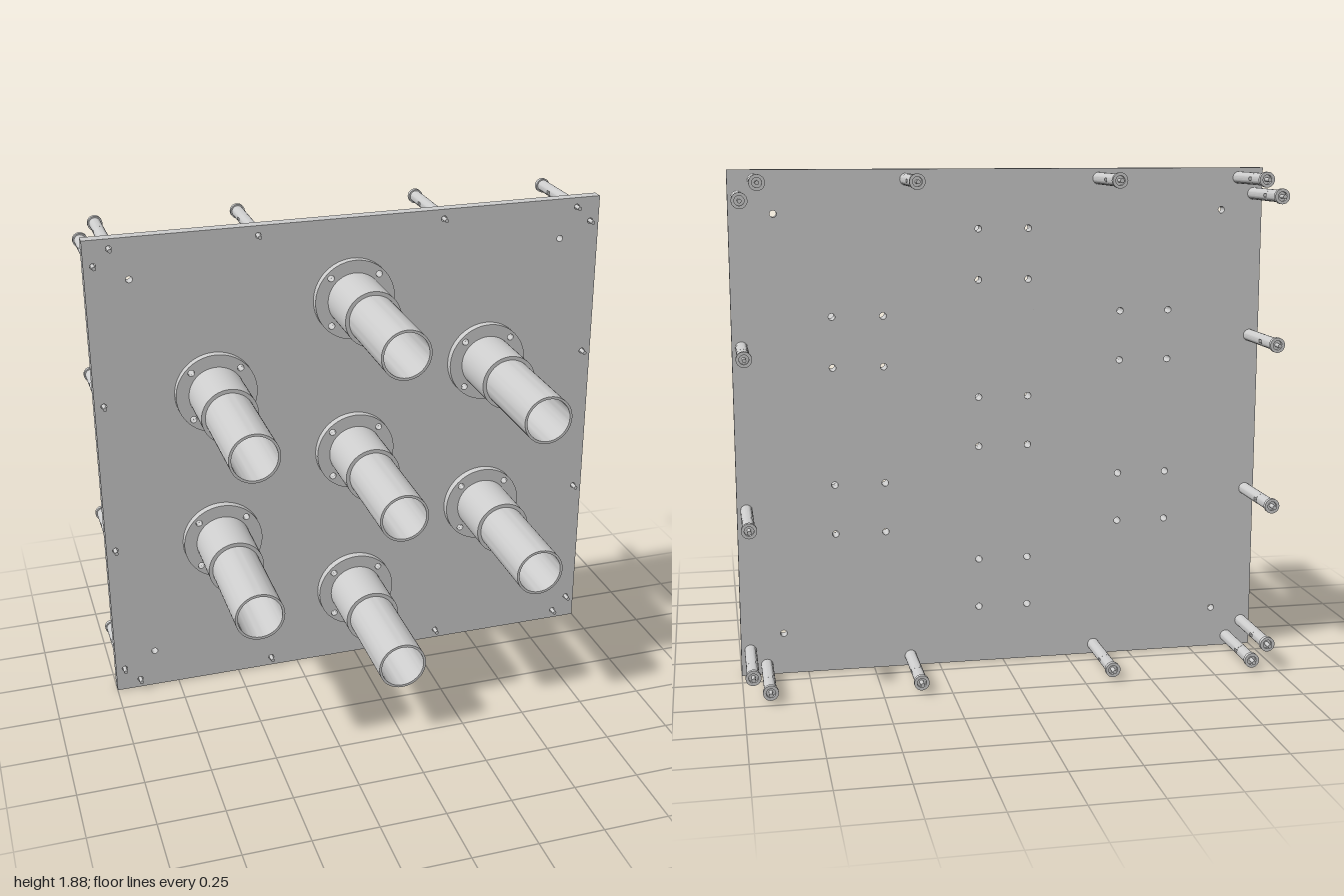
import * as THREE from 'three';
import { toCreasedNormals } from 'three/addons/utils/BufferGeometryUtils.js';

const MID = 0.94;                      // height of the plate centre
const BACK = -0.175, FACE = -0.13;     // plate surfaces in z
const BOLT = 0.094, HOLE = 0.0125;     // flange bolt offset and radius
const material = new THREE.MeshStandardMaterial({ color: 0xcccccc });

const crease = (g) => toCreasedNormals(g, 0.5);

// Turned part about z; profile is [radius, z]
function turned(profile, segments) {
  const points = profile.map(([r, z]) => new THREE.Vector2(r, z));
  return crease(new THREE.LatheGeometry(points, segments).rotateX(Math.PI / 2));
}

function extruded(shape, z0, z1, curveSegments) {
  const g = new THREE.ExtrudeGeometry(shape, { depth: z1 - z0, bevelEnabled: false, curveSegments });
  return crease(g.translate(0, 0, z0));
}

function drill(shape, x, y, r) {
  shape.holes.push(new THREE.Path().absarc(x, y, r, 0, Math.PI * 2, true));
}

function part(name, geometry) {
  const mesh = new THREE.Mesh(geometry, material);
  mesh.name = name;
  return mesh;
}

export function createModel() {
  const model = new THREE.Group();
  model.name = 'tubePlate';
  const signs = [-1, 1];
  const corners = signs.flatMap((sx) => signs.map((sy) => [sx, sy]));

  // One central tube and six around it on a hexagon
  const tubes = [[0, MID]];
  for (let i = 0; i < 6; i++) {
    const a = Math.PI / 2 + (i * Math.PI) / 3;
    tubes.push([0.628 * Math.cos(a), MID + 0.628 * Math.sin(a)]);
  }

  // Pins along all four edges
  const pins = [];
  for (const [sx, sy] of corners) {
    for (const x of [0.905, 0.36]) pins.push([sx * x, MID + sy * 0.903]);
    for (const y of [0.843, 0.303]) pins.push([sx * 0.965, MID + sy * y]);
  }

  // Drilled base plate
  const plate = new THREE.Shape([[-1, 0], [1, 0], [1, 2 * MID], [-1, 2 * MID]]
    .map(([x, y]) => new THREE.Vector2(x, y)));
  for (const [sx, sy] of corners) {
    drill(plate, sx * 0.84, MID + sy * 0.783, HOLE);
    for (const [x, y] of tubes) drill(plate, x + sx * BOLT, y + sy * BOLT, HOLE);
  }
  for (const [x, y] of pins) drill(plate, x, y, 0.011);
  model.add(part('plate', extruded(plate, BACK, FACE, 10)));

  // Flange with four bolt holes
  const flange = new THREE.Shape().absarc(0, 0, 0.156, 0, Math.PI * 2);
  drill(flange, 0, 0, 0.095);
  for (const [sx, sy] of corners) drill(flange, sx * BOLT, sy * BOLT, HOLE);
  const flangeGeometry = extruded(flange, FACE, -0.1, 32);

  // Stepped hollow tube, open at the front
  const tubeGeometry = turned([
    [0.083, FACE], [0.107, FACE], [0.107, 0.125], [0.0925, 0.125],
    [0.0925, 0.5], [0.083, 0.5], [0.083, FACE],
  ], 64);

  for (const [x, y] of tubes) {
    const group = new THREE.Group();
    group.name = 'flangedTube';
    group.position.set(x, y, 0);
    group.add(part('flange', flangeGeometry), part('tube', tubeGeometry));
    model.add(group);
  }

  // Pin: capped rear end, cross slot, sleeve and rod through the plate
  const R = 0.0225, rod = 0.0075, slotBack = -0.368, slotFront = -0.343;
  const rearGeometry = turned([
    [0, -0.5], [rod, -0.5], [rod, -0.463], [0.017, -0.463], [0.017, -0.475],
    [0.028, -0.475], [0.028, -0.459], [R, -0.459], [R, slotBack], [0, slotBack],
  ], 24);
  const sleeveGeometry = turned([
    [0, slotFront], [R, slotFront], [R, BACK], [rod, BACK], [rod, -0.1], [0, -0.1],
  ], 24);
  const a = Math.asin(0.006 / R);
  const cheek = new THREE.Shape().absarc(0, 0, R, a, Math.PI - a);
  const cheekGeometry = extruded(cheek, slotBack, slotFront, 12);

  for (const [x, y] of pins) {
    const pin = new THREE.Group();
    pin.name = 'pin';
    pin.position.set(x, y, 0);
    const lower = part('slotCheek', cheekGeometry);
    lower.rotation.z = Math.PI;
    pin.add(part('cappedEnd', rearGeometry), part('sleeve', sleeveGeometry),
      part('slotCheek', cheekGeometry), lower);
    model.add(pin);
  }
  return model;
}
